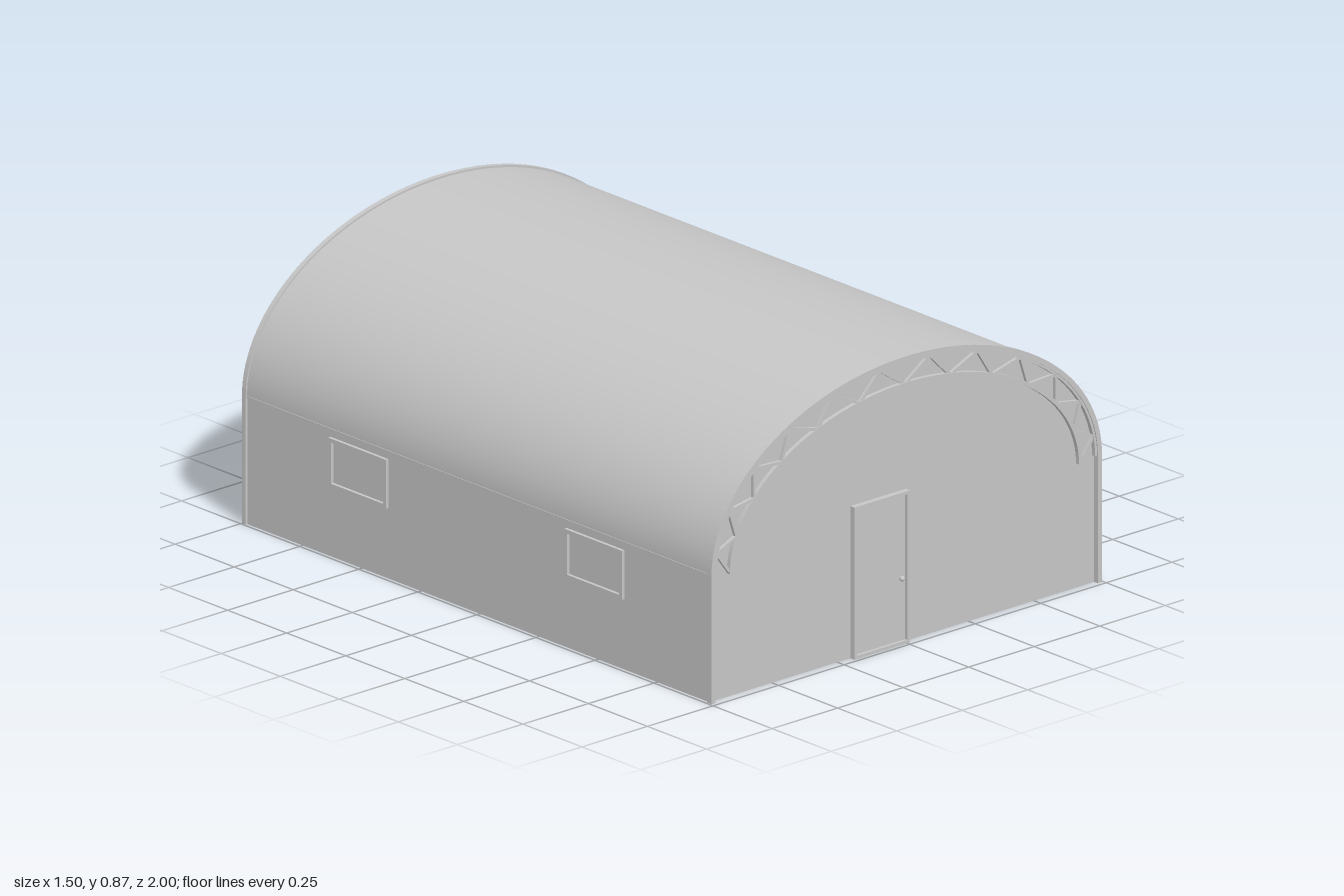
import * as THREE from 'three';

const EAVE = 0.385;
const grey = new THREE.MeshStandardMaterial({ color: 0xc6c6c6 });
grey.name = 'grey sheet';
grey.side = THREE.DoubleSide;

function add(parent, name, geometry, x = 0, y = 0, z = 0) {
  const mesh = new THREE.Mesh(geometry, grey);
  mesh.name = name;
  mesh.position.set(x, y, z);
  parent.add(mesh);
  return mesh;
}

// Points on the upper half of an ellipse, angle measured from the crown
const onArch = (a, b, t, base = EAVE) => new THREE.Vector2(a * Math.sin(t), base + b * Math.cos(t));
function archPoints(a, b, base = EAVE, n = 64) {
  return Array.from({ length: n + 1 }, (_, i) => onArch(a, b, (i / n - 0.5) * Math.PI, base));
}

// Flat arch band of even thickness; legs > 0 runs it down to the ground
function archBand(a, b, thick, depth, base = EAVE, legs = false) {
  const outer = archPoints(a, b, base);
  const inner = archPoints(a - thick, b - thick, base).reverse();
  const pts = [...outer];
  if (legs) pts.push(new THREE.Vector2(a, 0), new THREE.Vector2(a - thick, 0));
  pts.push(...inner);
  if (legs) pts.push(new THREE.Vector2(thick - a, 0), new THREE.Vector2(-a, 0));
  return new THREE.ExtrudeGeometry(new THREE.Shape(pts), { depth, bevelEnabled: false });
}

// Rectangular frame, centred, extruded along +z
function frame(w, h, t, depth) {
  const rect = (W, H) => [[-W, -H], [W, -H], [W, H], [-W, H]].map(([x, y]) => new THREE.Vector2(x / 2, y / 2));
  const shape = new THREE.Shape(rect(w, h));
  shape.holes.push(new THREE.Path(rect(w - 2 * t, h - 2 * t)));
  return new THREE.ExtrudeGeometry(shape, { depth, bevelEnabled: false });
}

export function createModel() {
  const hall = new THREE.Group();
  hall.name = 'archedHall';

  // Vaulted roof
  const roof = new THREE.CylinderGeometry(1, 1, 1.96, 72, 1, true, -Math.PI / 2, Math.PI);
  roof.scale(0.74, 1, 0.477);
  roof.rotateX(-Math.PI / 2);
  add(hall, 'roof', roof, 0, EAVE, -0.01);

  // End walls, following the vault
  const endShape = new THREE.Shape([
    new THREE.Vector2(-0.738, 0), ...archPoints(0.738, 0.475), new THREE.Vector2(0.738, 0),
  ]);
  add(hall, 'frontWall', new THREE.ShapeGeometry(endShape), 0, 0, 0.972);
  const back = new THREE.ShapeGeometry(endShape);
  back.rotateY(Math.PI);
  add(hall, 'backWall', back, 0, 0, -0.992);

  // Rims with corner posts at both ends
  add(hall, 'frontRim', archBand(0.745, 0.483, 0.016, 0.02, EAVE, true), 0, 0, 0.968);
  add(hall, 'backRim', archBand(0.745, 0.483, 0.016, 0.016, EAVE, true), 0, 0, -1);

  // Side walls with eave strips and window frames
  for (const side of [-1, 1]) {
    const wall = new THREE.PlaneGeometry(1.965, EAVE);
    wall.rotateY(side * Math.PI / 2);
    add(hall, 'sideWall', wall, side * 0.738, EAVE / 2, -0.01);
    add(hall, 'eaveStrip', new THREE.BoxGeometry(0.006, 0.006, 1.96), side * 0.739, EAVE, -0.01);
    for (const z of [0.49, -0.51]) {
      const win = frame(0.245, 0.148, 0.012, 0.012);
      win.rotateY(side * Math.PI / 2);
      add(hall, 'windowFrame', win, side * 0.736, 0.287, z);
    }
  }

  // Front truss: inner chord, outer chord and zigzag struts
  const truss = new THREE.Group();
  truss.name = 'frontTruss';
  hall.add(truss);
  add(truss, 'innerChord', archBand(0.672, 0.412, 0.012, 0.014, 0.375), 0, 0, 0.971);
  add(truss, 'outerChord', archBand(0.73, 0.468, 0.009, 0.014), 0, 0, 0.971);
  const strut = (p, q) => {
    const d = q.clone().sub(p);
    const bar = add(truss, 'strut', new THREE.BoxGeometry(d.length(), 0.009, 0.01),
      (p.x + q.x) / 2, (p.y + q.y) / 2, 0.978);
    bar.rotation.z = Math.atan2(d.y, d.x);
  };
  const step = Math.PI / 12;
  const low = (k) => onArch(0.666, 0.406, k * step, 0.375);
  for (let k = -6; k < 6; k++) {
    const high = onArch(0.725, 0.464, (k + 0.5) * step);
    strut(low(k), high);
    strut(high, low(k + 1));
  }

  // Door with frame and knob
  const door = new THREE.Group();
  door.name = 'door';
  door.position.set(-0.095, 0, 0.972);
  hall.add(door);
  add(door, 'doorFrame', frame(0.212, 0.46, 0.01, 0.018), 0, 0.23, 0);
  add(door, 'doorLeaf', new THREE.BoxGeometry(0.192, 0.44, 0.008), 0, 0.23, 0.004);
  add(door, 'doorKnob', new THREE.SphereGeometry(0.008, 16, 12), 0.076, 0.2, 0.018);
  const stem = new THREE.CylinderGeometry(0.004, 0.004, 0.014, 12);
  stem.rotateX(Math.PI / 2);
  add(door, 'knobStem', stem, 0.076, 0.2, 0.012);

  return hall;
}
